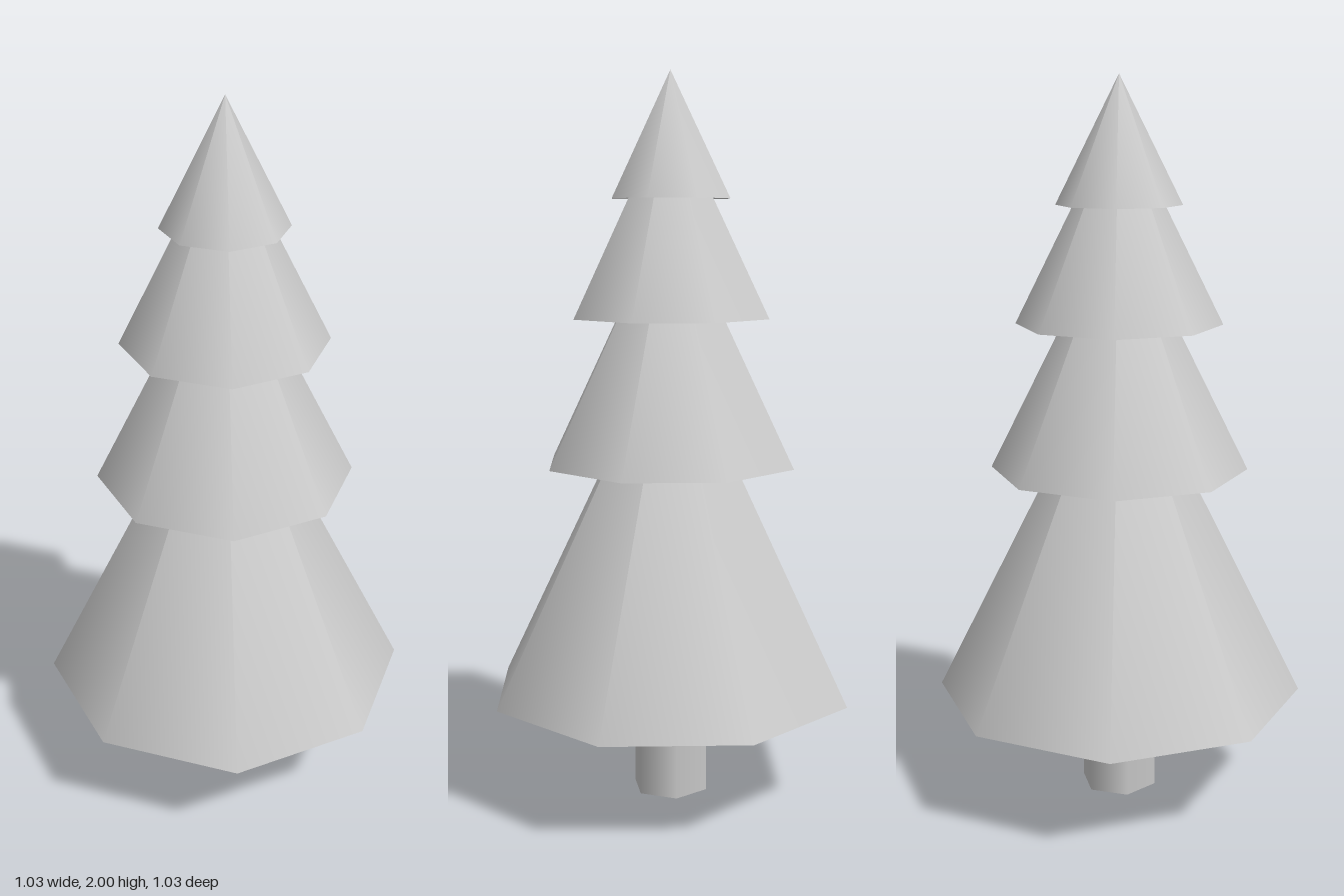
import * as THREE from 'three';

const material = new THREE.MeshStandardMaterial({ color: 0xcccccc, side: THREE.DoubleSide });

// Place a part so that its lower rim sits at the given height
function addPart(group, name, geometry, bottom, height) {
  const mesh = new THREE.Mesh(geometry, material);
  mesh.name = name;
  mesh.position.y = bottom + height / 2;
  group.add(mesh);
}

export function createModel() {
  const tree = new THREE.Group();
  tree.name = 'firTree';

  // Six-sided trunk, reaching a little way up into the lowest tier
  addPart(tree, 'trunk', new THREE.CylinderGeometry(0.108, 0.108, 0.4, 6), 0, 0.4);

  // Overlapping hollow eight-sided cones: [radius, bottom, apex]
  const tiers = [
    [0.514, 0.29, 1.32],
    [0.356, 0.937, 1.65],
    [0.283, 1.34, 1.907],
    [0.171, 1.66, 2],
  ];
  tiers.forEach(([radius, bottom, apex], i) => {
    const height = apex - bottom;
    addPart(tree, `branchTier${i + 1}`, new THREE.ConeGeometry(radius, height, 8, 1, true), bottom, height);
  });

  return tree;
}
